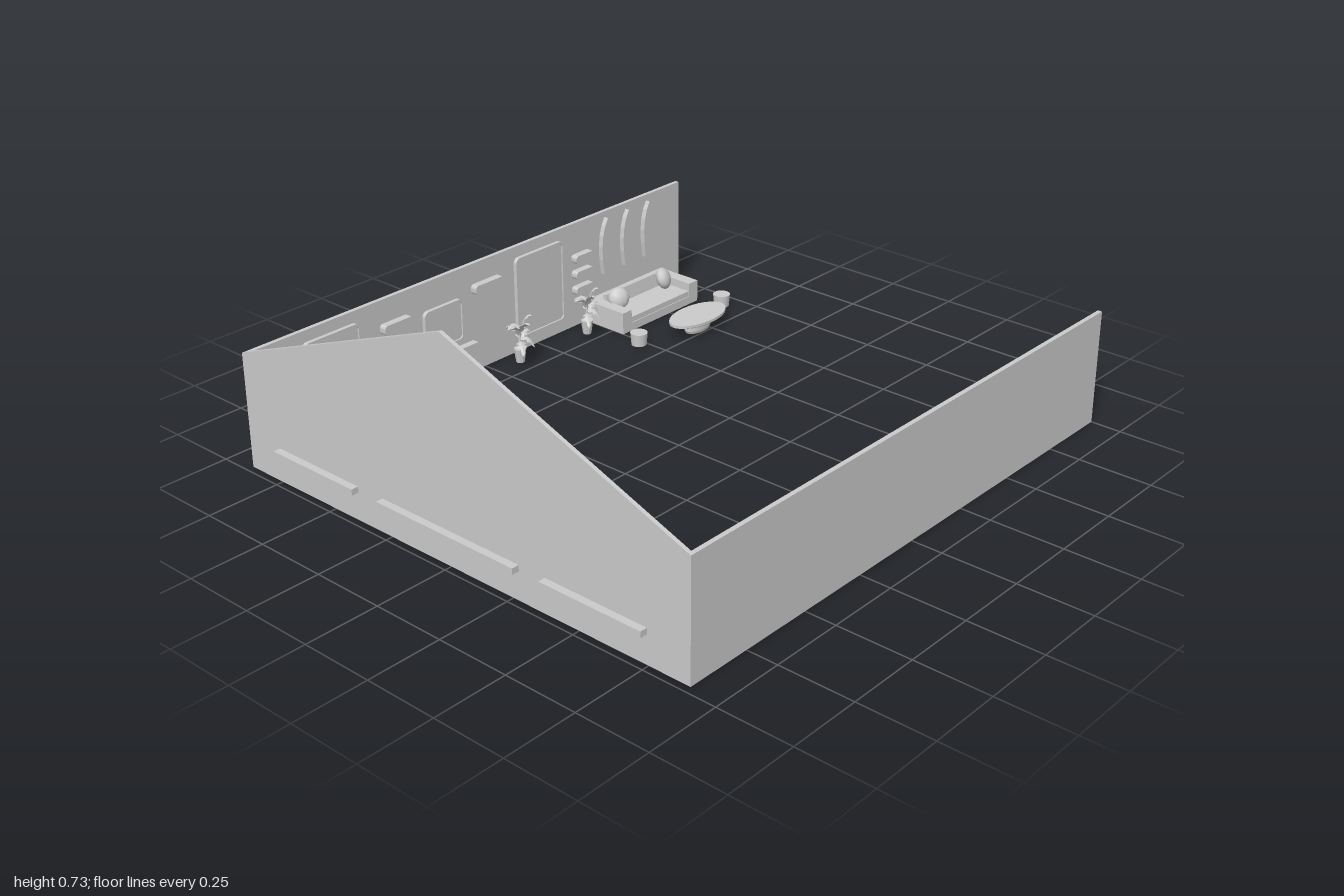
import * as THREE from 'three';

const mat = new THREE.MeshStandardMaterial({ color: 0xcccccc, flatShading: true });
const smooth = new THREE.MeshStandardMaterial({ color: 0xcccccc });
const thin = new THREE.MeshStandardMaterial({ color: 0xcccccc, flatShading: true, side: THREE.DoubleSide });

function add(parent, name, geo, x = 0, y = 0, z = 0, material = mat) {
  const m = new THREE.Mesh(geo, material);
  m.name = name;
  m.position.set(x, y, z);
  parent.add(m);
  return m;
}

// box given by its min and max corners
function box(parent, name, x0, x1, y0, y1, z0, z1) {
  return add(parent, name, new THREE.BoxGeometry(x1 - x0, y1 - y0, z1 - z0), (x0 + x1) / 2, (y0 + y1) / 2, (z0 + z1) / 2);
}

function roundRect(w, h, r, Type = THREE.Shape) {
  const s = new Type(), a = w / 2, b = h / 2;
  s.absarc(a - r, b - r, r, 0, Math.PI / 2);
  s.absarc(r - a, b - r, r, Math.PI / 2, Math.PI);
  s.absarc(r - a, r - b, r, Math.PI, Math.PI * 1.5);
  s.absarc(a - r, r - b, r, Math.PI * 1.5, Math.PI * 2);
  s.closePath();
  return s;
}

const extrude = (shape, depth) =>
  new THREE.ExtrudeGeometry(shape, { depth, bevelEnabled: false, curveSegments: 5 });

function triangle(halfWidth, y0, y1, Type = THREE.Shape) {
  const t = new Type();
  t.moveTo(-halfWidth, y0);
  t.lineTo(halfWidth, y0);
  t.lineTo(0, y1);
  t.closePath();
  return t;
}

// rounded panel with a raised rim; a..b run along the wall
function panel(wall, name, a, b, y0, y1) {
  const g = new THREE.Group();
  g.name = name;
  g.position.set((a + b) / 2, (y0 + y1) / 2, 0);
  const w = b - a, h = y1 - y0, rim = roundRect(w, h, 0.02);
  rim.holes.push(roundRect(w - 0.014, h - 0.014, 0.014, THREE.Path));
  add(g, name + 'Rim', extrude(rim, 0.014));
  add(g, name + 'Pane', extrude(roundRect(w - 0.014, h - 0.014, 0.014), 0.008));
  wall.add(g);
}

function sign(wall, a, b, y, h = 0.034) {
  add(wall, 'signBoard', extrude(roundRect(b - a, h, 0.012), 0.026), (a + b) / 2, y, 0);
}

const sill = (wall, a, b, d0 = 0, d1 = 0.032) => box(wall, 'windowSill', a, b, 0.095, 0.115, d0, d1);

// frame whose +z points into the room
function wallFrame(root, name, x, z, turn) {
  const g = new THREE.Group();
  g.name = name;
  g.position.set(x, 0, z);
  g.rotation.y = turn;
  root.add(g);
  return g;
}

// arched, serrated leaf folded along its midrib, growing toward +x
function leafGeometry(reach, rise, droop) {
  const pos = [], idx = [], n = 8;
  for (let i = 0; i <= n; i++) {
    const t = i / n;
    const w = 0.016 * Math.sin(Math.PI * (0.1 + 0.9 * t)) * (i % 2 ? 1.2 : 0.6);
    const x = reach * t, y = rise * t * (2 - t) - droop * t * t;
    pos.push(x, y - w * 0.4, -w, x, y, 0, x, y - w * 0.4, w);
    if (i < n) for (let k = 0; k < 2; k++) {
      const p = i * 3 + k;
      idx.push(p, p + 1, p + 3, p + 1, p + 4, p + 3);
    }
  }
  const g = new THREE.BufferGeometry();
  g.setAttribute('position', new THREE.Float32BufferAttribute(pos, 3));
  g.setIndex(idx);
  g.computeVertexNormals();
  return g;
}

// potted plant, wider along one direction
function plant(root, x, z, turn) {
  const g = new THREE.Group();
  g.name = 'pottedPlant';
  g.position.set(x, 0, z);
  g.rotation.y = turn;
  add(g, 'pot', new THREE.CylinderGeometry(0.022, 0.015, 0.05, 10), 0, 0.035, 0);
  add(g, 'stem', new THREE.CylinderGeometry(0.004, 0.006, 0.06, 6), 0, 0.085, 0);
  for (let i = 0; i < 13; i++) {
    const a = i * 2.4, reach = 0.032 + 0.042 * Math.abs(Math.cos(a));
    const leaf = add(g, 'leaf', leafGeometry(reach, 0.03 + 0.02 * (i % 3), 0.055 - 0.02 * (i % 3)), 0, 0.085 + 0.004 * i, 0, thin);
    leaf.rotation.y = a;
  }
  root.add(g);
}

export function createModel() {
  const root = new THREE.Group();
  root.name = 'openRoom';

  // outer walls, the front one gabled
  box(root, 'rightWall', -0.895, -0.88, 0, 0.39, -1, 0.975);
  box(root, 'leftWall', 0.88, 0.895, 0, 0.39, -1, 0.975);
  const gable = new THREE.Shape([[-0.895, 0], [0.895, 0], [0.895, 0.39], [0, 0.73], [-0.895, 0.39]]
    .map(p => new THREE.Vector2(...p)));
  add(root, 'gableWall', extrude(gable, 0.013), 0, 0, 0.962);

  // gable wall: triangular frame, windows and sills that pass through the wall
  const frame = triangle(0.51, 0.44, 0.635);
  frame.holes.push(triangle(0.38, 0.464, 0.61, THREE.Path));
  add(root, 'gableFrame', extrude(frame, 0.05), 0, 0, 0.905);
  const front = wallFrame(root, 'gableWallFittings', 0, 0.962, Math.PI);
  for (const [a, b] of [[-0.71, -0.42], [-0.265, 0.265], [0.39, 0.71]]) panel(front, 'window', a, b, 0.13, 0.34);
  for (const [a, b] of [[-0.745, -0.375], [-0.275, 0.283], [0.39, 0.75]]) sill(front, a, b, -0.038, 0.022);

  // wall on +x: along = z
  const left = wallFrame(root, 'leftWallFittings', 0.88, 0, -Math.PI / 2);
  panel(left, 'door', -0.37, -0.13, 0.035, 0.34);
  panel(left, 'window', 0.1, 0.29, 0.13, 0.29);
  panel(left, 'window', 0.51, 0.81, 0.13, 0.32);
  sill(left, 0.06, 0.33);
  sill(left, 0.47, 0.84);
  sign(left, -0.56, -0.42, 0.285);
  sign(left, -0.07, 0.06, 0.29);
  sign(left, 0.35, 0.47, 0.29);
  for (const z of [-0.81, -0.7]) {
    const post = add(left, 'post', extrude(roundRect(0.038, 0.05, 0.012), 0.2), z, 0, 0.023);
    post.rotation.x = -Math.PI / 2;
  }

  // wall on -x: along = -z
  const right = wallFrame(root, 'rightWallFittings', -0.88, 0, Math.PI / 2);
  panel(right, 'door', 0.15, 0.38, 0.05, 0.35);
  panel(right, 'window', -0.27, -0.1, 0.14, 0.29);
  panel(right, 'door', -0.765, -0.54, 0.05, 0.35);
  sill(right, -0.33, -0.05, 0, 0.025);
  sign(right, -0.05, 0.08, 0.3);
  sign(right, -0.45, -0.33, 0.29);
  for (const y of [0.14, 0.2, 0.26]) sign(right, 0.43, 0.52, y, 0.03);

  // pointed boards hung above the sofa
  const board = new THREE.Shape();
  board.moveTo(-0.022, 0);
  board.bezierCurveTo(-0.04, 0.1, -0.03, 0.17, 0, 0.21);
  board.bezierCurveTo(0.03, 0.17, 0.04, 0.1, 0.022, 0);
  board.closePath();
  for (const a of [0.6, 0.71, 0.82]) add(right, 'hangingBoard', extrude(board, 0.018), a, 0.16, 0.002);

  // sofa
  const sofa = new THREE.Group();
  sofa.name = 'sofa';
  root.add(sofa);
  box(sofa, 'sofaBase', -0.88, -0.7, 0, 0.03, -0.9, -0.5);
  box(sofa, 'sofaSeat', -0.83, -0.703, 0.03, 0.05, -0.855, -0.545);
  box(sofa, 'sofaBack', -0.88, -0.83, 0.03, 0.08, -0.86, -0.54);
  const cushion = box(sofa, 'sofaBackCushion', -0.835, -0.82, 0.05, 0.1, -0.855, -0.545);
  cushion.rotation.z = 0.15;
  for (const z of [-0.9, -0.545]) box(sofa, 'sofaArm', -0.88, -0.7, 0.03, 0.08, z, z + 0.045);
  for (const s of [-1, 1]) {
    const p = add(sofa, 'pillow', new THREE.SphereGeometry(0.042, 12, 8), -0.79, 0.09, -0.695 + s * 0.12, smooth);
    p.scale.set(0.6, 0.95, 0.95);
    p.rotation.set(0, -s * 0.5, 0.35);
  }

  // oval table and two round stools
  const top = [[0, 0], [0.055, 0], [0.06, 0.01], [0.06, 0.035], [0.115, 0.042], [0.13, 0.048], [0.13, 0.058], [0, 0.058]]
    .map(p => new THREE.Vector2(...p));
  const table = add(root, 'ovalTable', new THREE.LatheGeometry(top, 32), -0.535, 0, -0.71);
  table.scale.x = 0.54;
  for (const z of [-0.925, -0.478]) add(root, 'stool', new THREE.CylinderGeometry(0.031, 0.027, 0.045, 20), -0.605, 0.0225, z);

  // plants along the walls: x, z, turn of the long direction
  const plants = [
    [-0.79, -0.41, -0.7], [-0.8, -0.09, -0.6], [-0.84, 0.44, 1.5], [-0.835, 0.9, 1.57],
    [-0.35, 0.885, -0.3], [0.3, 0.88, -0.3], [0.8, 0.89, 0.5],
    [0.83, 0.41, 1.5], [0.83, -0.02, 1.57], [0.82, -0.48, -0.7], [0.82, -0.6, -0.6],
  ];
  for (const p of plants) plant(root, ...p);
  return root;
}
